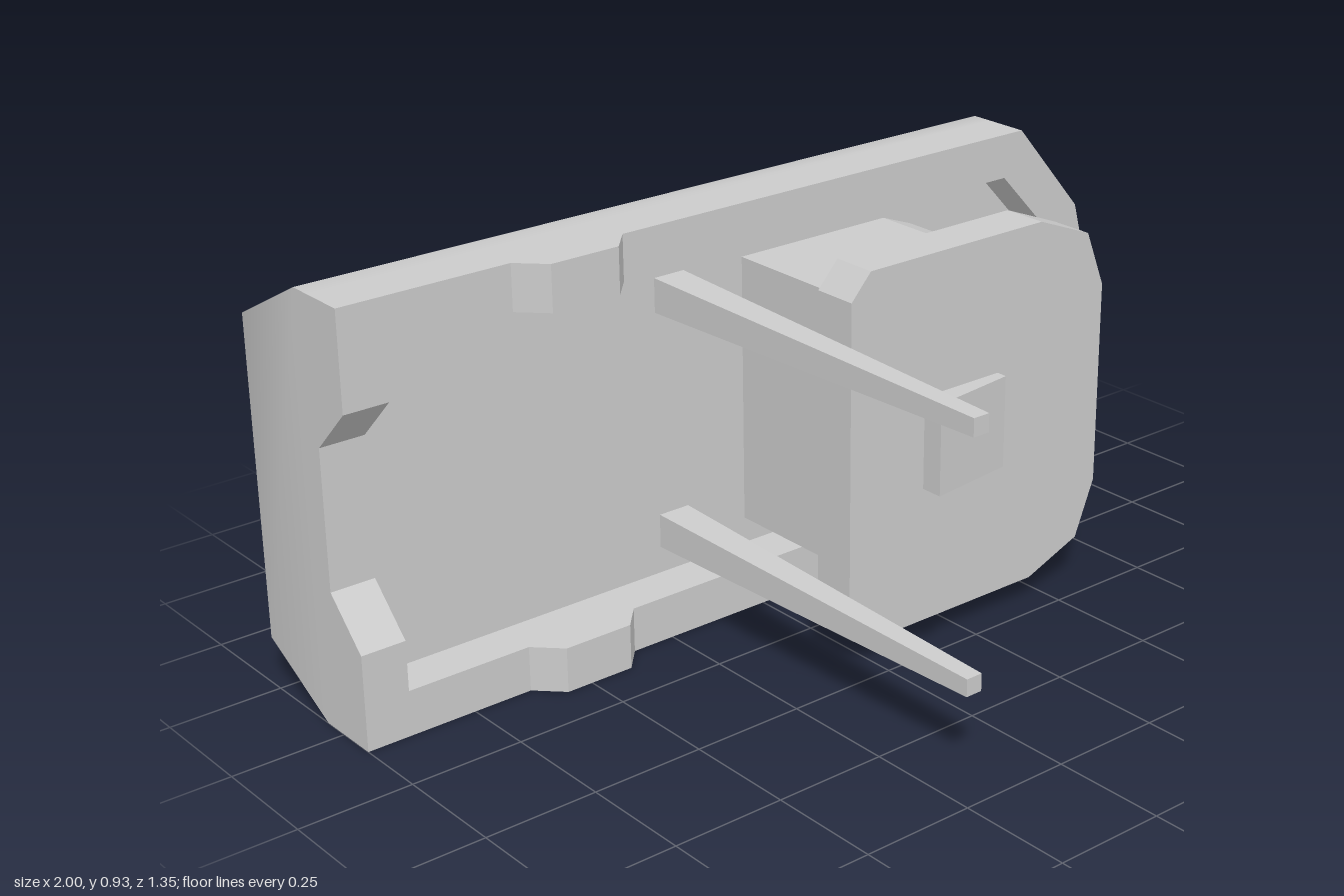
import * as THREE from 'three';
import { toCreasedNormals } from 'three/addons/utils/BufferGeometryUtils.js';

const MID = 0.4625; // height of the mirror plane
const material = new THREE.MeshStandardMaterial({ color: 0xcccccc });

// Mirror a lower half outline [x, y] (rear to nose) into a closed loop, ccw from the front
function mirrored(half) {
  const upper = half.filter(([, y]) => y < MID).map(([x, y]) => [x, 2 * MID - y]).reverse();
  return [...half, ...upper];
}

const at = (outline, z) => outline.map(([x, y]) => [x, y, z]);

function rect(x0, x1, y0, y1) {
  return [[x0, y0], [x1, y0], [x1, y1], [x0, y1]];
}

// Join convex rings, ordered from front (+z) to back, and cap both ends
function loft(rings, crease = 0.3) {
  const pos = [];
  const tri = (a, b, c) => pos.push(...a, ...b, ...c);
  const n = rings[0].length;
  for (let r = 0; r < rings.length - 1; r++) {
    for (let i = 0; i < n; i++) {
      const j = (i + 1) % n;
      const [a, b, c, d] = [rings[r][i], rings[r][j], rings[r + 1][j], rings[r + 1][i]];
      tri(a, d, c);
      tri(a, c, b);
    }
  }
  const front = rings[0], back = rings[rings.length - 1];
  for (let i = 1; i < n - 1; i++) {
    tri(front[0], front[i], front[i + 1]);
    tri(back[0], back[i + 1], back[i]);
  }
  const g = new THREE.BufferGeometry();
  g.setAttribute('position', new THREE.Float32BufferAttribute(pos, 3));
  return toCreasedNormals(g, crease);
}

export function createModel() {
  const model = new THREE.Group();
  const add = (name, geometry) => {
    const mesh = new THREE.Mesh(geometry, material);
    mesh.name = name;
    model.add(mesh);
  };

  // Housing: solid back with bevelled sides and a rounded nose
  const outer = mirrored([[-1, 0], [0.75, 0], [0.93, 0.21], [1, MID]]);
  const middle = mirrored([[-1, 0.11], [0.63, 0.11], [0.77, 0.27], [0.82, MID]]);
  const rear = mirrored([[-0.9, 0.25], [0.44, 0.25], [0.525, 0.35], [0.55, MID]]);
  add('housing', loft([at(outer, -0.26), at(outer, -0.31), at(middle, -0.52), at(rear, -0.675)], 0.6));

  // Raised rim around the front recess, open at the rear end
  const inner = mirrored([[-1, 0.21], [-0.9, 0.21], [-0.9, 0.1], [0.7, 0.1], [0.84, 0.25], [0.89, MID]]);
  const rimShape = new THREE.Shape([...outer, ...inner.reverse()].map(([x, y]) => new THREE.Vector2(x, y)));
  const rim = new THREE.ExtrudeGeometry(rimShape, { depth: 0.1, bevelEnabled: false });
  add('rim', rim.translate(0, 0, -0.26));

  // Sloped jaws of the rear opening
  add('lowerJaw', loft([at(rect(-1, -0.9, 0.1, 0.211), -0.16), at(rect(-1, -0.9, 0.1, 0.31), -0.26)]));
  add('upperJaw', loft([at(rect(-1, -0.9, 0.714, 0.825), -0.16), at(rect(-1, -0.9, 0.615, 0.825), -0.26)]));

  // Bumps on both long edges of the rim
  for (const [name, y] of [['lowerBump', 0], ['upperBump', 0.825]]) {
    add(name, loft([
      at(rect(-0.56, -0.4, y, y + 0.1), -0.105),
      at(rect(-0.615, -0.35, y, y + 0.1), -0.16),
    ]));
  }

  // Neck and front plate
  const neck = mirrored([[0.03, 0.16], [0.43, 0.16], [0.51, 0.19], [0.54, 0.27]]);
  add('neck', loft([at(neck, 0.11), at(neck, -0.26)]));
  const plate = mirrored([[-0.07, 0.11], [-0.02, 0.055], [0.45, 0.055], [0.59, 0.11], [0.64, 0.235]]);
  add('plate', loft([at(plate, 0.205), at(plate, 0.105)]));

  // Wedge button on the plate
  const button = rect(0.13, 0.335, 0.36, 0.565);
  add('button', loft([button.map(([x, y]) => [x, y, x < 0.2 ? 0.255 : 0.23]), at(button, 0.205)]));

  // Tapered catch between neck and nose
  const catchOutline = [[0.53, 0.315], [0.71, 0.365], [0.71, 0.56], [0.53, 0.61]];
  add('catch', loft([
    catchOutline.map(([x, y]) => [x, y, x < 0.6 ? -0.165 : -0.18]),
    at(catchOutline, -0.26),
  ]));

  // Long square pins
  for (const [name, y] of [['lowerPin', 0.198], ['upperPin', 0.733]]) {
    const square = (s) => rect(-0.163 - s, -0.163 + s, y - s, y + s);
    add(name, loft([at(square(0.019), 0.67), at(square(0.038), -0.26)]));
  }
  return model;
}
